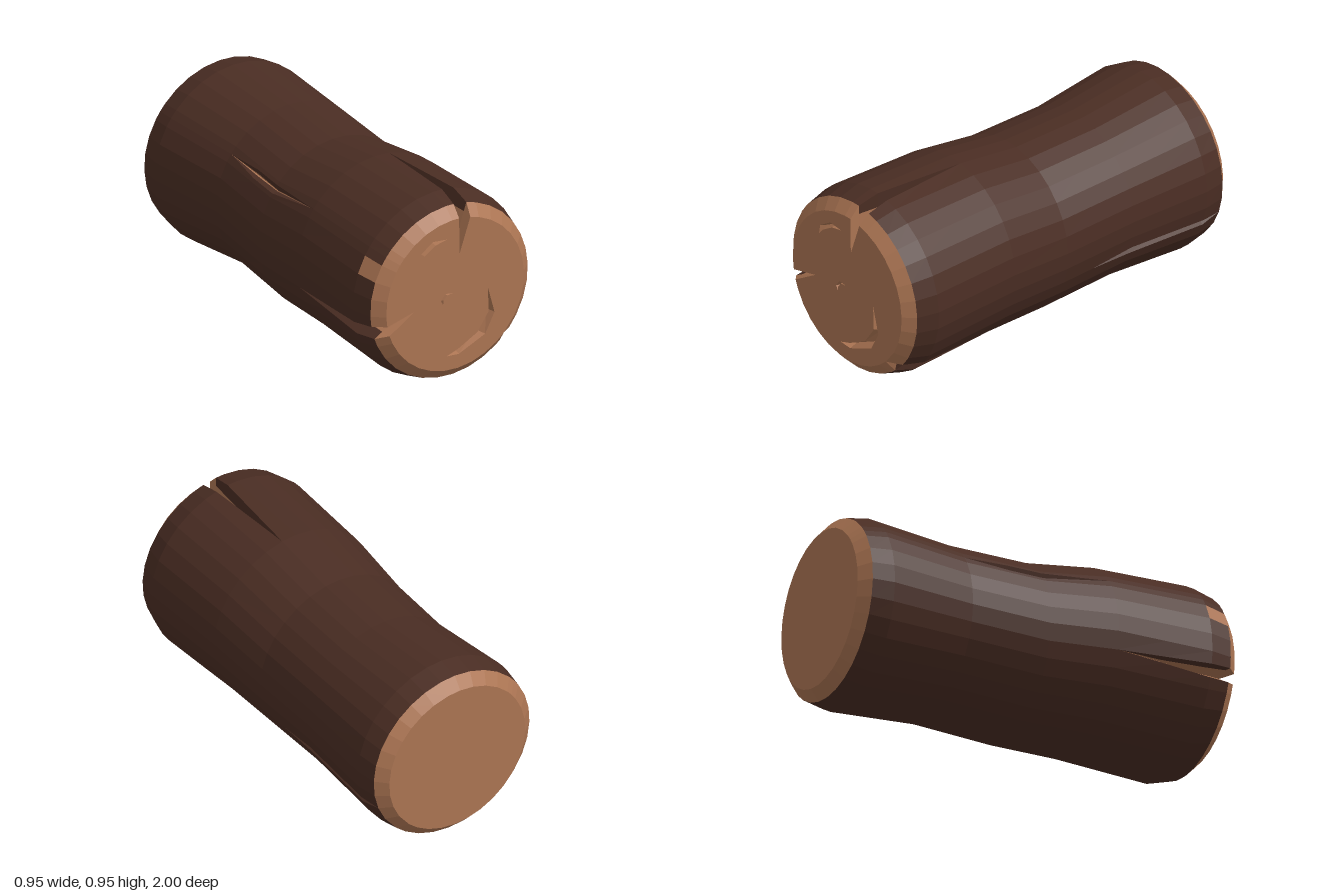
import * as THREE from 'three';

const wood = new THREE.MeshStandardMaterial({ color: 0xac7553 });
wood.name = 'cut wood';
const bark = new THREE.MeshStandardMaterial({ color: 0x4a2d23 });
bark.name = 'bark';

// Trunk sections, front to back: z, bottom, top, min x, max x
const SECTIONS = [
  [1, 0.088, 0.87, -0.393, 0.391], [0.95, 0.035, 0.925, -0.45, 0.446],
  [0.84, 0.003, 0.955, -0.475, 0.475], [0.35, 0.025, 0.945, -0.46, 0.457],
  [0, 0.02, 0.896, -0.44, 0.435], [-0.4, 0.05, 0.91, -0.415, 0.446],
  [-0.84, 0.015, 0.945, -0.465, 0.462], [-0.95, 0.038, 0.925, -0.45, 0.446],
  [-1, 0.09, 0.87, -0.391, 0.391],
];
const RINGS = [1, 0.95, 0.84, 0.6, 0.35, 0, -0.17, -0.4, -0.6, -0.84, -0.95, -1];

// Cracks: angle in degrees, then rows of z, half width (deg), depth, shift of the bottom (deg)
const CRACKS = [
  { a: 82, rows: [[1, 4.7, 0.185, 1], [0.95, 4.7, 0.22, 1], [0.84, 4, 0.2, 0.6], [0.35, 0, 0, 0]] },
  { a: 143, rows: [[0.35, 0, 0, 0], [0, 3, 0.03, 0], [-0.17, 3, 0.03, 0], [-0.4, 0, 0, 0]] },
  { a: 194, rows: [[1, 3.8, 0.16, -6.5], [0.95, 4.5, 0.195, -5], [0.84, 4, 0.185, -3.5], [0.35, 0, 0, 0]] },
  { a: 315, rows: [[1, 0, 0, 0], [0.95, 5, 0.025, 0], [0.84, 6, 0.05, 0], [0.35, 0, 0, 0]] },
  { a: 340, rows: [[-0.17, 0, 0, 0], [-0.4, 2.5, 0.035, 0], [-0.84, 2, 0.04, 0], [-0.95, 0, 0, 0]] },
];

// Linear interpolation in rows sorted by falling z
function sample(rows, z) {
  if (z >= rows[0][0]) return rows[0];
  for (let i = 1; i < rows.length; i++) {
    if (z >= rows[i][0]) {
      const t = (rows[i - 1][0] - z) / (rows[i - 1][0] - rows[i][0]);
      return rows[i].map((v, k) => THREE.MathUtils.lerp(rows[i - 1][k], v, t));
    }
  }
  return rows[rows.length - 1];
}

// Point on the trunk at an angle and height z, sunk by a depth
function trunkPoint(deg, z, depth = 0) {
  const [, y0, y1, x0, x1] = sample(SECTIONS, z);
  const a = THREE.MathUtils.degToRad(deg);
  return new THREE.Vector3(
    (x0 + x1) / 2 + ((x1 - x0) / 2 - depth) * Math.cos(a),
    (y0 + y1) / 2 + ((y1 - y0) / 2 - depth) * Math.sin(a), z);
}

// Lengthwise columns: 32 plain ones, replaced by five across each crack
function makeColumns() {
  const cols = [];
  for (let i = 0; i < 32; i++) {
    const a = 2.4 + i * 11.25;
    const hit = CRACKS.some(c => Math.abs(c.a - a) < Math.max(...c.rows.map(r => r[1])) + 1.5);
    if (!hit) cols.push({ a, at: z => trunkPoint(a, z), chip: i === 13 });
  }
  for (const c of CRACKS) {
    const inside = z => z <= c.rows[0][0] && z >= c.rows[c.rows.length - 1][0];
    const row = z => (inside(z) ? sample(c.rows, z) : [z, 0, 0, 0]);
    const rim = s => z => trunkPoint(c.a + s * row(z)[1], z);
    const bottom = z => trunkPoint(c.a + row(z)[3], z, row(z)[2]);
    const mid = s => z => {
      const depth = row(z)[2];
      const radius = trunkPoint(c.a, z).sub(new THREE.Vector3(0, 0.48, z)).length();
      const f = depth > 0 ? THREE.MathUtils.clamp((0.4 - radius + depth) / depth, 0, 1) : 0;
      return bottom(z).lerp(rim(s)(z), f);
    };
    cols.push({ a: c.a - 0.2, at: rim(-1) }, { a: c.a - 0.1, at: mid(-1), inner: true },
      { a: c.a, at: bottom, inner: true }, { a: c.a + 0.1, at: mid(1) }, { a: c.a + 0.2, at: rim(1) });
  }
  return cols.sort((p, q) => p.a - q.a);
}

function addTriangle(out, a, b, c) {
  const n = b.clone().sub(a).cross(c.clone().sub(a));
  if (n.length() > 1e-8) for (const p of [a, b, c]) out.push(p.x, p.y, p.z);
}

function facetMesh(name, positions, material) {
  const g = new THREE.BufferGeometry();
  g.setAttribute('position', new THREE.Float32BufferAttribute(positions, 3));
  g.computeVertexNormals();
  const m = new THREE.Mesh(g, material);
  m.name = name;
  return m;
}

// Carved marks on the front: start tip, outer edge, end tip, inner edge (same direction)
const MARKS = [
  { name: 'upperGroove', depth: 0.04, start: [-0.205, 0.69], end: [-0.045, 0.777],
    outer: [[-0.197, 0.738], [-0.125, 0.785]], inner: [[-0.175, 0.723], [-0.112, 0.763]] },
  { name: 'lowerGroove', depth: 0.05, start: [0.185, 0.465], end: [-0.05, 0.165],
    outer: [[0.223, 0.325], [0.17, 0.225], [0.02, 0.16]],
    inner: [[0.19, 0.338], [0.125, 0.245], [0.015, 0.187]] },
  { name: 'centreGroove', depth: 0.02, start: [-0.07, 0.44], end: [-0.013, 0.488],
    outer: [[-0.082, 0.46], [-0.057, 0.494]], inner: [[-0.066, 0.461], [-0.047, 0.484]] },
];

function grooveMesh(mark) {
  const out = [];
  const face = (a, b, c) => {
    const up = b.clone().sub(a).cross(c.clone().sub(a)).z > 0;
    addTriangle(out, a, up ? b : c, up ? c : b);
  };
  const v = (p, z = 1) => new THREE.Vector3(p[0], p[1], z);
  const line = pts => [mark.start, ...pts, mark.end].map(p => v(p));
  const floor = line(mark.outer.map((p, i) => [
    p[0] * 0.45 + mark.inner[i][0] * 0.55, p[1] * 0.45 + mark.inner[i][1] * 0.55]));
  floor.slice(1, -1).forEach(p => { p.z -= mark.depth; });
  for (const edge of [line(mark.outer), line(mark.inner)]) {
    for (let i = 0; i < edge.length - 1; i++) {
      face(edge[i], edge[i + 1], floor[i]);
      face(edge[i + 1], floor[i + 1], floor[i]);
    }
  }
  return facetMesh(mark.name, out, wood);
}

export function createModel() {
  const group = new THREE.Group();
  group.name = 'log';
  const cols = makeColumns();
  const parts = { barkShell: [], frontBevel: [], backBevel: [], crackWood: [] };

  // Trunk skin, with bevelled ends, crack walls and a small chip in the bark
  for (let r = 0; r < RINGS.length - 1; r++) {
    const z0 = RINGS[r], z1 = RINGS[r + 1];
    cols.forEach((c, j) => {
      const n = cols[(j + 1) % cols.length];
      let part = 'barkShell';
      if (z0 === 1) part = 'frontBevel';
      else if (z1 === -1) part = 'backBevel';
      else if (c.inner || (c.chip && z0 === 0.95)) part = 'crackWood';
      const a = c.at(z0), b = c.at(z1), d = n.at(z1), e = n.at(z0);
      addTriangle(parts[part], a, b, d);
      addTriangle(parts[part], a, d, e);
    });
  }
  for (const [name, positions] of Object.entries(parts)) {
    group.add(facetMesh(name, positions, name === 'barkShell' ? bark : wood));
  }

  // Cut faces; the front one is pierced by the carved marks
  const outline = (z, s) => {
    const pts = [];
    for (const c of cols) {
      const p = c.at(z);
      const q = new THREE.Vector2(p.x * s, p.y);
      if (!pts.length || q.distanceTo(pts[pts.length - 1]) > 1e-5) pts.push(q);
    }
    return new THREE.Shape(pts);
  };
  const frontShape = outline(1, 1);
  for (const m of MARKS) {
    const loop = [m.start, ...m.outer, m.end, ...[...m.inner].reverse()];
    frontShape.holes.push(new THREE.Path(loop.map(p => new THREE.Vector2(p[0], p[1]))));
    group.add(grooveMesh(m));
  }
  const front = new THREE.Mesh(new THREE.ShapeGeometry(frontShape), wood);
  front.name = 'frontCut';
  front.position.z = 1;
  const back = new THREE.Mesh(new THREE.ShapeGeometry(outline(-1, -1)), wood);
  back.name = 'backCut';
  back.rotation.y = Math.PI;
  back.position.z = -1;
  group.add(front, back);
  return group;
}
